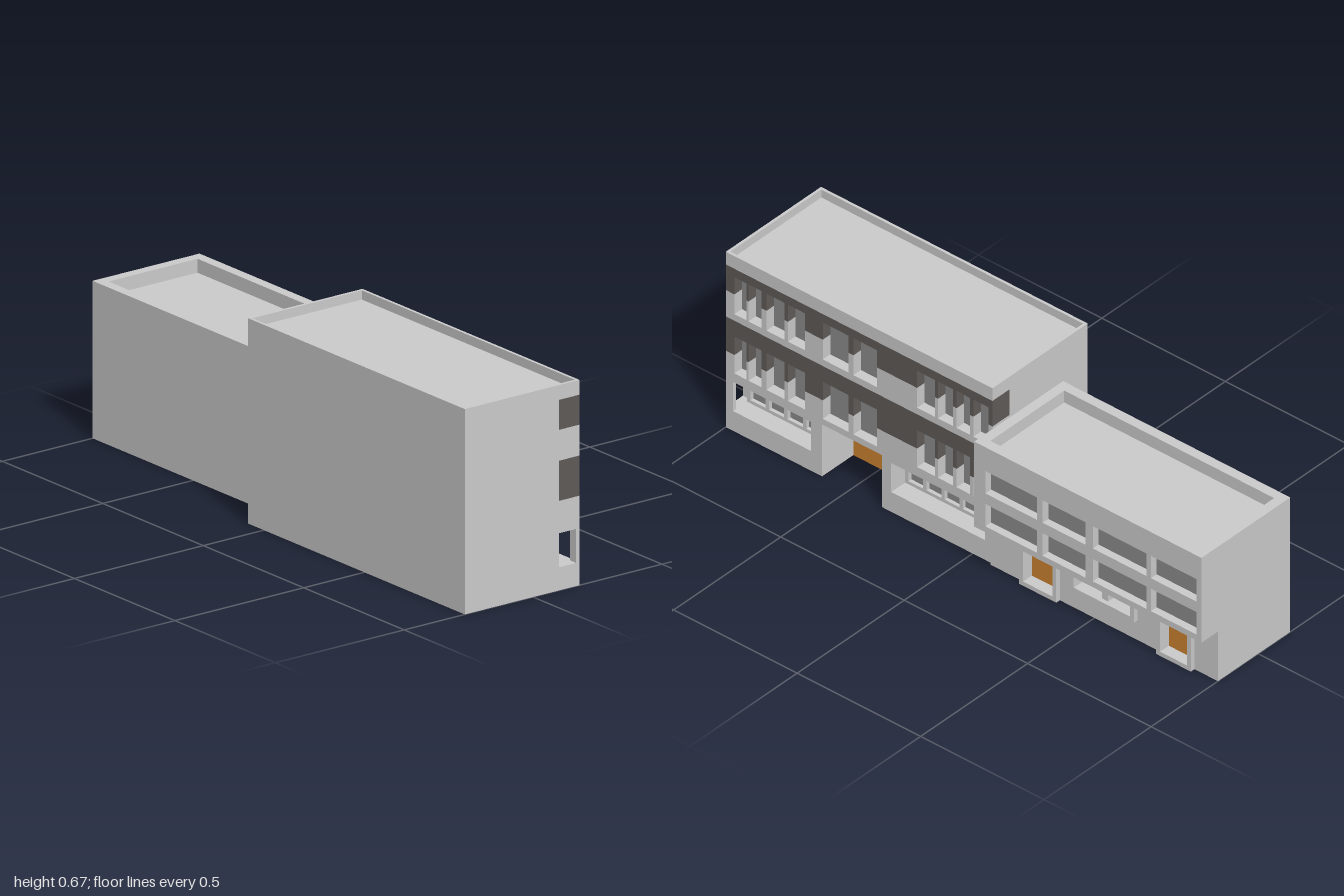
import * as THREE from 'three';

const mat = (color) => new THREE.MeshStandardMaterial({ color, flatShading: true });
const GREY = mat(0xcccccc), DARK = mat(0x5f5b58), GLASS = mat(0x8c8c8c), DOOR = mat(0xcc8230);

// box given by its limits on each axis
function block(parent, name, x0, x1, y0, y1, z0, z1, material = GREY) {
  const mesh = new THREE.Mesh(new THREE.BoxGeometry(x1 - x0, y1 - y0, z1 - z0), material);
  mesh.position.set((x0 + x1) / 2, (y0 + y1) / 2, (z0 + z1) / 2);
  mesh.name = name;
  parent.add(mesh);
  return mesh;
}

// rectangular ring, extruded along local z
function ringGeometry(x0, x1, y0, y1, edge, depth) {
  const rect = (T, e) => new T([
    [x0 + e, y0 + e], [x1 - e, y0 + e], [x1 - e, y1 - e], [x0 + e, y1 - e],
  ].map((p) => new THREE.Vector2(...p)));
  const shape = rect(THREE.Shape, 0);
  shape.holes.push(rect(THREE.Path, edge));
  return new THREE.ExtrudeGeometry(shape, { depth, bevelEnabled: false });
}

function parapet(parent, x0, x1, z0, z1, edge, y0, y1) {
  const mesh = new THREE.Mesh(ringGeometry(x0, x1, -z1, -z0, edge, y1 - y0), GREY);
  mesh.rotation.x = -Math.PI / 2;
  mesh.position.y = y0;
  mesh.name = 'parapet';
  parent.add(mesh);
}

// wall strip on the rear side, solid between its openings; u runs from x = 1 towards -x
function wallRow(parent, u0, u1, y0, y1, z0, z1, openings, material = GREY) {
  let start = u0;
  for (const [a, b] of [...openings, [u1, u1]]) {
    if (a > start) block(parent, 'rearWall', 1 - a, 1 - start, y0, y1, z0, z1, material);
    start = b;
  }
}

// glazing with upright bars and a rail above and below
function glazing(parent, u0, u1, y0, y1, z, count) {
  block(parent, 'glass', 1 - u1, 1 - u0, y0, y1, z - 0.002, z + 0.002, GLASS);
  for (const y of [y0, y1 - 0.012]) block(parent, 'windowRail', 1 - u1, 1 - u0, y, y + 0.012, z - 0.015, z);
  for (let i = 0; i <= count; i++) {
    const u = u0 + (u1 - u0 - 0.014) * i / count;
    block(parent, 'windowBar', 1 - u - 0.014, 1 - u, y0, y1, z - 0.015, z);
  }
}

function tallBuilding() {
  const g = new THREE.Group();
  g.name = 'tallBuilding';
  const end = 1.08, back = -0.18, inner = -0.1, doorZ = -0.03;
  const windows = [
    [0.035, 0.085], [0.092, 0.145], [0.165, 0.238], [0.252, 0.32],
    [0.393, 0.497], [0.517, 0.613],
    [0.775, 0.847], [0.86, 0.92], [0.935, 0.99], [1.003, 1.065],
  ];
  const door = [0.39, 0.633], corner = [0, 0.345], shop = [0.67, 1.05];

  block(g, 'mainBody', -0.08, 1, 0, 0.635, doorZ, 0.265);
  parapet(g, -0.08, 1, back, 0.265, 0.01, 0.635, 0.665);

  // layer around the deep entrance
  wallRow(g, 0, end, 0, 0.197, inner, doorZ, [door]);
  wallRow(g, 0, end, 0.197, 0.635, inner, doorZ, []);

  // rear wall from the ground up, with two dark bands
  const rows = [
    [0, 0.075, [door]],
    [0.075, 0.185, [corner, door, shop]],
    [0.185, 0.197, [door]],
    [0.197, 0.22, []],
    [0.22, 0.29, windows],
    [0.29, 0.36, windows, DARK],
    [0.36, 0.42, [], DARK],
    [0.42, 0.445, []],
    [0.445, 0.52, windows],
    [0.52, 0.585, windows, DARK],
    [0.585, 0.617, [], DARK],
    [0.617, 0.635, []],
  ];
  for (const [y0, y1, openings, m] of rows) wallRow(g, 0, end, y0, y1, back, inner, openings, m);

  // upper windows
  for (const y of [0.22, 0.445]) {
    for (const [a, b] of windows) block(g, 'window', 1 - b, 1 - a, y, y + 0.14, -0.145, inner, GLASS);
  }

  // open corner bay, wide bay and entrance
  block(g, 'cornerPost', 0.97, 1, 0.075, 0.185, back, -0.167);
  glazing(g, 0.03, 0.345, 0.075, 0.185, inner, 4);
  glazing(g, 0.67, 1.05, 0.075, 0.185, inner, 5);
  block(g, 'entranceDoor', 1 - door[1], 1 - door[0], 0, 0.197, doorZ - 0.004, doorZ, DOOR);
  return g;
}

function lowBuilding() {
  const g = new THREE.Group();
  g.name = 'lowBuilding';
  const u0 = 1.08, u1 = 2;

  // overhanging upper storeys
  block(g, 'upperBody', -1, -0.08, 0.188, 0.465, -0.235, 0.15);
  parapet(g, -1, -0.08, -0.265, 0.15, 0.035, 0.465, 0.51);
  const columns = [[1.125, 1.335], [1.357, 1.53], [1.56, 1.777], [1.795, 1.98]];
  const rows = [[0.188, 0.21], [0.21, 0.295, columns], [0.295, 0.335], [0.335, 0.42, columns], [0.42, 0.465]];
  for (const [y0, y1, openings = []] of rows) {
    wallRow(g, u0, u1, y0, y1, -0.265, -0.235, openings);
    for (const [a, b] of openings) block(g, 'window', 1 - b, 1 - a, y0, y1, -0.238, -0.234, GLASS);
  }

  // ground floor, set back
  const wallZ = -0.188, frameZ = -0.205, paneZ = -0.16;
  const doors = [[1.21, 1.36], [1.765, 1.905]], middle = [1.415, 1.675];
  block(g, 'lowerBody', -1, -0.08, 0, 0.188, paneZ, 0.15);
  wallRow(g, u0, u1, 0, 0.075, wallZ, paneZ, doors);
  wallRow(g, u0, u1, 0.075, 0.18, wallZ, paneZ, [doors[0], middle, doors[1]]);
  wallRow(g, u0, u1, 0.18, 0.188, wallZ, paneZ, doors);

  // projecting frames with what they hold
  const framed = (name, [a, b], y0, y1, material) => {
    const frame = new THREE.Mesh(ringGeometry(1 - b, 1 - a, y0, y1, 0.016, paneZ - frameZ), GREY);
    frame.position.z = frameZ;
    frame.name = name + 'Frame';
    g.add(frame);
    block(g, name, 1 - b, 1 - a, y0, y1, paneZ - 0.004, paneZ, material);
  };
  for (const d of doors) framed('door', d, 0, 0.188, DOOR);
  framed('groundWindow', middle, 0.075, 0.18, GLASS);
  const mid = 1 - (middle[0] + middle[1]) / 2;
  block(g, 'windowDivider', mid - 0.012, mid + 0.012, 0.08, 0.175, -0.19, paneZ);
  return g;
}

export function createModel() {
  const model = new THREE.Group();
  model.name = 'buildingPair';
  model.add(tallBuilding(), lowBuilding());
  return model;
}
